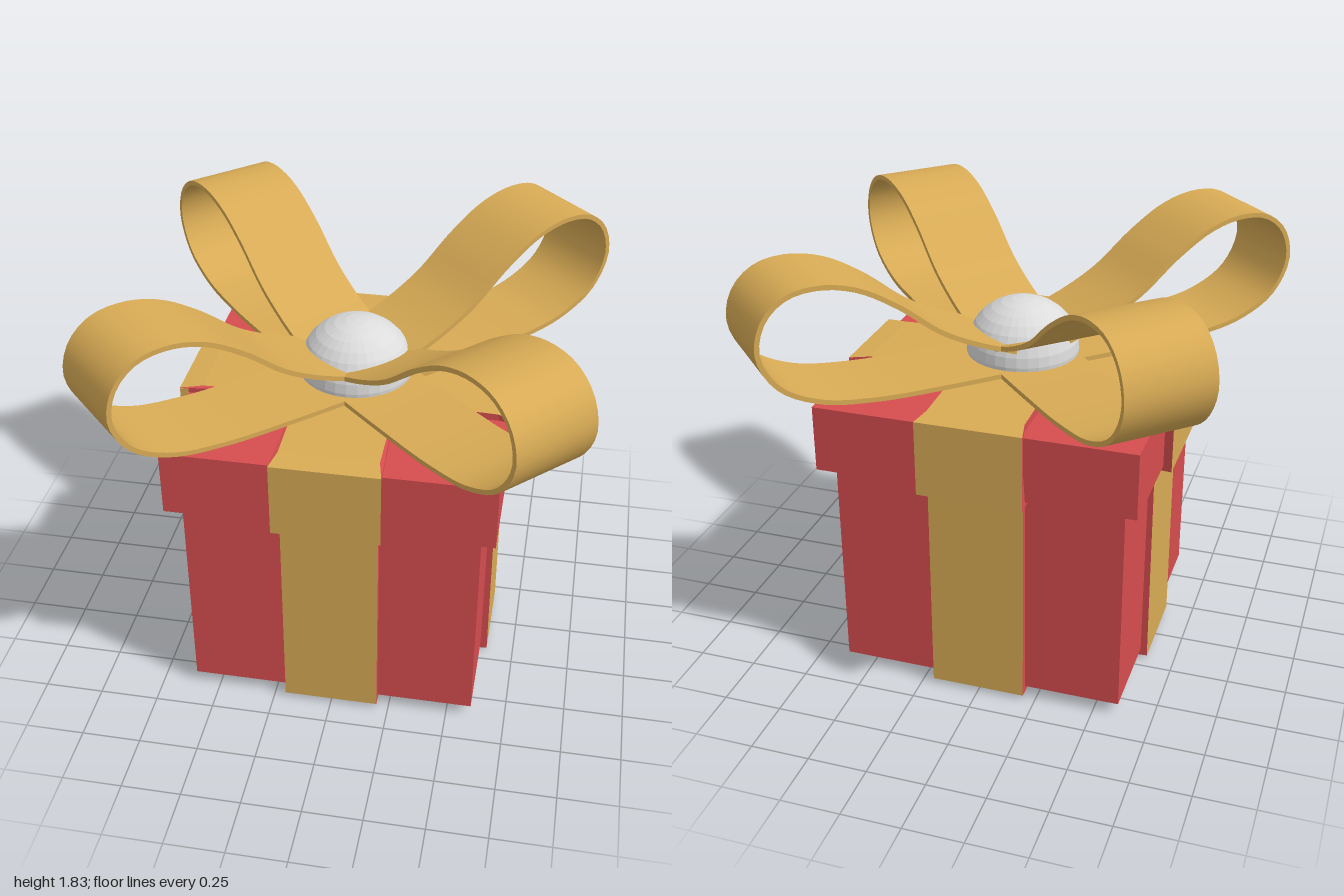
import * as THREE from 'three';
import { toCreasedNormals } from 'three/addons/utils/BufferGeometryUtils.js';

export function createModel() {
  const model = new THREE.Group();
  model.name = 'giftBox';

  const material = (name, color, options = {}) => {
    const m = new THREE.MeshStandardMaterial({ color, ...options });
    m.name = name;
    return m;
  };
  const red = material('red paper', 0xd64d4f);
  const gold = material('gold ribbon', 0xd8ab55);
  const grey = material('pale grey knot', 0xdcdcdc, { flatShading: true });

  const add = (name, geometry, mat, parent = model) => {
    const mesh = new THREE.Mesh(geometry, mat);
    mesh.name = name;
    parent.add(mesh);
    return mesh;
  };
  const block = (name, half, bottom, top) =>
    add(name, new THREE.BoxGeometry(half * 2, top - bottom, half * 2), red)
      .position.y = (bottom + top) / 2;

  // Box and lid
  block('boxBody', 0.605, 0.05, 1.0);
  block('lid', 0.665, 0.98, 1.26);

  // Raised bands: gold outer faces, red side walls; two cross at right angles.
  // The profile lists the +x half from bottom centre to top centre.
  const band = (name, profile, halfWidth, flare, flareStart, flareEnd) => {
    const right = profile.map(([x, y]) => new THREE.Vector2(x, y));
    const left = profile.map(([x, y]) => new THREE.Vector2(-x, y)).reverse();
    for (let i = 0; i < 2; i++) {
      const g = new THREE.ExtrudeGeometry(new THREE.Shape([...right, ...left]), {
        depth: 2, bevelEnabled: false,
      });
      const p = g.attributes.position;
      for (let v = 0; v < p.count; v++) {
        const t = THREE.MathUtils.clamp(
          (Math.abs(p.getX(v)) - flareStart) / (flareEnd - flareStart), 0, 1);
        p.setZ(v, (p.getZ(v) - 1) * (halfWidth + flare * t));
      }
      g.computeVertexNormals();
      add(name + (i ? 'FrontToBack' : 'SideToSide'), g, [red, gold])
        .rotation.y = i * Math.PI / 2;
    }
  };
  band('bodyBand', [[0.2, 0], [0.634, 0.02], [0.628, 0.98], [0.2, 0.98]], 0.2, 0, 0.5, 0.6);
  band('lidBand',
    [[0.2, 0.955], [0.61, 0.955], [0.702, 0.96], [0.702, 1.28], [0.61, 1.288], [0.2, 1.3]],
    0.2, 0.02, 0.61, 0.7);

  // Gold edge on one side of the lid band
  add('lidBandEdge', new THREE.BoxGeometry(0.035, 0.318, 0.009), gold)
    .position.set(-0.684, 1.119, 0.2175);

  // Bow loop: a thin strip following a teardrop path in the radius/height plane
  const path = new THREE.CatmullRomCurve3([
    [0, 1.312], [0.4, 1.312], [0.72, 1.322], [0.95, 1.36], [1.11, 1.45], [1.18, 1.59],
    [1.15, 1.72], [1.06, 1.8], [0.93, 1.82], [0.78, 1.785], [0.62, 1.69],
    [0.45, 1.555], [0.3, 1.475], [0.12, 1.405],
  ].map(([r, y]) => new THREE.Vector3(r, y, 0)));
  const steps = 64, thickness = 0.02, width = 0.38;
  const outer = [], inner = [];
  for (let i = 0; i <= steps; i++) {
    const c = path.getPointAt(i / steps);
    const t = path.getTangentAt(i / steps);
    const nx = t.y * thickness / 2, ny = -t.x * thickness / 2;
    outer.push(new THREE.Vector2(c.x + nx, c.y + ny));
    inner.unshift(new THREE.Vector2(c.x - nx, c.y - ny));
  }
  const strip = new THREE.ExtrudeGeometry(new THREE.Shape([...outer, ...inner]), {
    depth: width, bevelEnabled: false,
  });
  strip.translate(0, 0, -width / 2);
  const loop = toCreasedNormals(strip, 0.6);

  // Four loops on the diagonals
  const bow = new THREE.Group();
  bow.name = 'bow';
  model.add(bow);
  const ends = [[0.862, 0.845], [0.86, -0.825], [-0.81, -0.855], [-0.865, 0.825]];
  ends.forEach(([x, z], i) => {
    const mesh = add('bowLoop' + (i + 1), loop, gold, bow);
    mesh.rotation.y = Math.atan2(-z, x);
    mesh.scale.x = Math.hypot(x, z) / 1.19;
  });

  // Flattened round knot in the middle
  const knot = add('bowKnot', new THREE.SphereGeometry(0.237, 32, 16), grey, bow);
  knot.scale.y = 0.91;
  knot.position.y = 1.337;

  return model;
}
